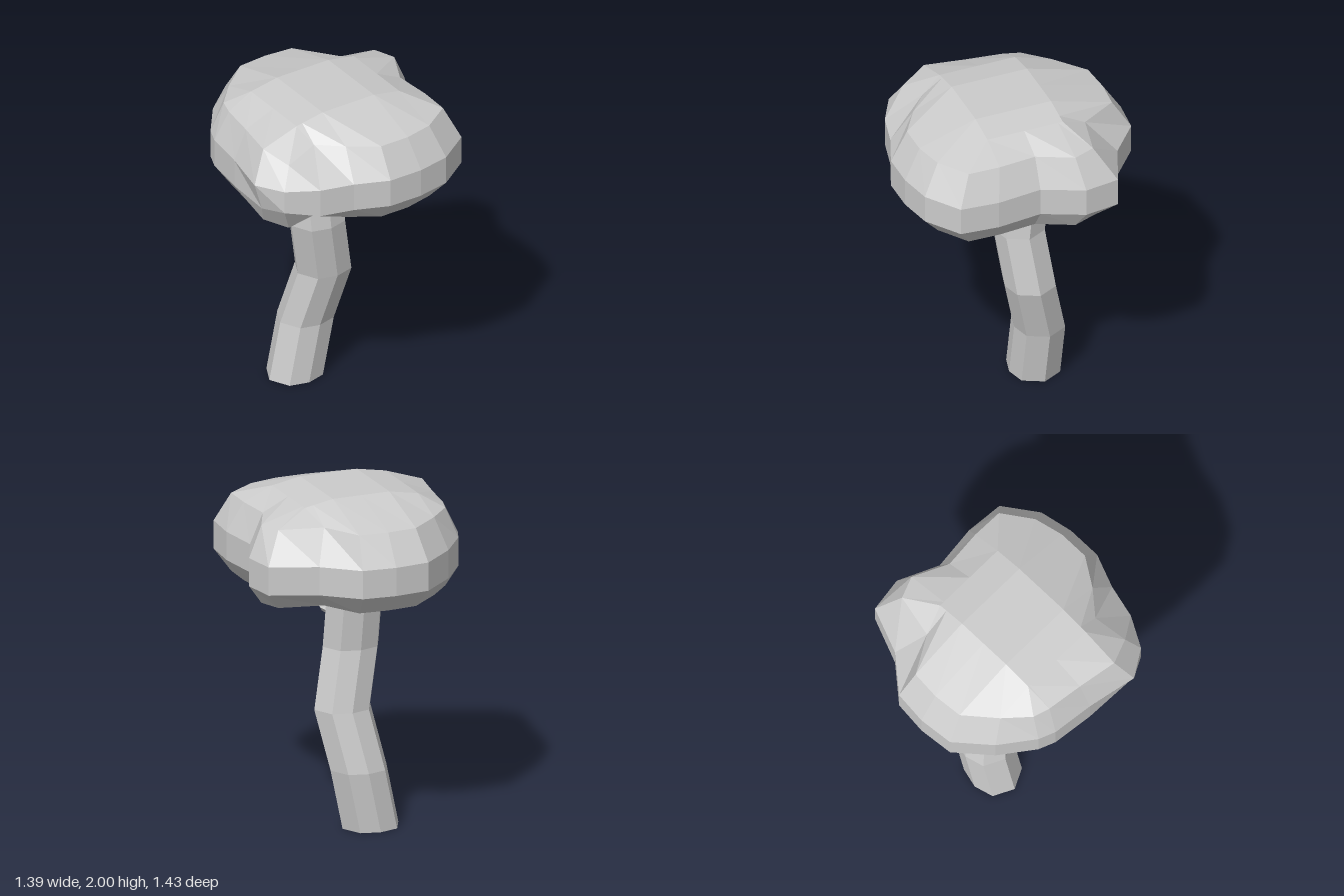
import * as THREE from 'three';

const material = new THREE.MeshStandardMaterial({ color: 0xcccccc, flatShading: true, side: THREE.DoubleSide });

// Skin a stack of rings (bottom to top, clockwise from above); optionally cap both ends.
function loft(name, rings, caps) {
  const pos = [];
  const tri = (a, b, c) => {
    const area = b.clone().sub(a).cross(c.clone().sub(a)).length();
    if (area > 1e-6) for (const p of [a, b, c]) pos.push(p.x, p.y, p.z);
  };
  const n = rings[0].length;
  for (let r = 0; r < rings.length - 1; r++) {
    for (let i = 0; i < n; i++) {
      const j = (i + 1) % n;
      const a = rings[r][i], b = rings[r][j], c = rings[r + 1][j], d = rings[r + 1][i];
      tri(a, d, c);
      tri(a, c, b);
    }
  }
  if (caps) {
    const centre = ring => ring.reduce((s, p) => s.add(p), new THREE.Vector3()).divideScalar(n);
    const low = rings[0], high = rings[rings.length - 1];
    const cl = centre(low), ch = centre(high);
    for (let i = 0; i < n; i++) {
      const j = (i + 1) % n;
      tri(cl, low[i], low[j]);
      tri(ch, high[j], high[i]);
    }
  }
  const geometry = new THREE.BufferGeometry();
  geometry.setAttribute('position', new THREE.Float32BufferAttribute(pos, 3));
  geometry.computeVertexNormals();
  const mesh = new THREE.Mesh(geometry, material);
  mesh.name = name;
  return mesh;
}

// Lobed outline of the crown at its widest, and the inset edge above and below it (x, z)
const outer = [
  [-0.22, -0.70], [-0.01, -0.72], [0.19, -0.70], [0.39, -0.53], [0.66, -0.42],
  [0.69, -0.21], [0.58, 0.03], [0.61, 0.30], [0.59, 0.53], [0.39, 0.67],
  [0.19, 0.71], [-0.02, 0.71], [-0.22, 0.63], [-0.42, 0.58], [-0.60, 0.48],
  [-0.70, 0.32], [-0.64, 0.02], [-0.61, -0.23], [-0.57, -0.33], [-0.42, -0.53],
];
const inner = [
  [-0.19, -0.59], [-0.01, -0.605], [0.165, -0.59], [0.29, -0.37], [0.55, -0.31],
  [0.60, -0.18], [0.50, 0.03], [0.52, 0.26], [0.515, 0.45], [0.34, 0.57],
  [0.165, 0.61], [-0.02, 0.61], [-0.19, 0.50], [-0.33, 0.38], [-0.53, 0.42],
  [-0.60, 0.26], [-0.56, 0.02], [-0.53, -0.20], [-0.50, -0.30], [-0.37, -0.44],
];
const NOTCH = 14; // pinched corner of the front right lobe

function buildCrown() {
  const { clamp } = THREE.MathUtils;
  const at = (outline, y) => outline.map(([x, z]) => new THREE.Vector3(x, y, z));
  // Flat plateau at height y, with shoulders that drop towards both sides
  const plateau = y => inner.map(([x, z]) =>
    new THREE.Vector3(clamp(x, -0.19, 0.165), y, clamp(z, -0.21, 0.26)));
  const shoulder = (y, drop) => inner.map(([x, z]) => {
    const sx = clamp(x, -0.37, 0.34);
    const out = Math.abs(sx - clamp(sx, -0.19, 0.165)) / 0.18;
    return new THREE.Vector3(sx, y - drop * out, clamp(z, -0.21, 0.26));
  });

  const lower = at(outer, 1.54), middle = at(outer, 1.71), upper = at(inner, 1.89);
  lower[NOTCH].y = 1.57;
  lower[NOTCH + 1].x = -0.65;
  upper[NOTCH].y = 1.835;
  return loft('crown', [
    plateau(1.38), shoulder(1.38, -0.017), at(inner, 1.42), lower,
    middle, upper, shoulder(2, 0.033), plateau(2),
  ], true);
}

// Eight-sided trunk that bends at each joint, open at the base
function buildTrunk() {
  const section = [
    [-0.115, -0.12], [0, -0.15], [0.115, -0.12], [0.175, 0],
    [0.115, 0.12], [0, 0.15], [-0.115, 0.12], [-0.175, 0],
  ];
  const joints = [
    [-0.075, 0, -0.20], [0, 0.36, -0.20], [0.065, 0.71, -0.115],
    [-0.005, 1.07, -0.075], [-0.015, 1.42, -0.115],
  ];
  return loft('trunk', joints.map(([cx, y, cz]) =>
    section.map(([x, z]) => new THREE.Vector3(cx + x, y, cz + z))), false);
}

// Small branch leaving the trunk and rising into the crown
function buildBranch() {
  const path = new THREE.CurvePath();
  const points = [[0.045, 1.24, 0.02], [0.075, 1.255, 0.10], [0.11, 1.42, 0.33]]
    .map(p => new THREE.Vector3(...p));
  const radius = 0.038;
  const rings = points.map((p, k) => {
    const dir = points[Math.min(k + 1, 2)].clone().sub(points[Math.max(k - 1, 0)]).normalize();
    const side = new THREE.Vector3(1, 0, 0).addScaledVector(dir, -dir.x).normalize();
    const up = dir.clone().cross(side);
    return Array.from({ length: 6 }, (_, i) => {
      const a = -i * Math.PI / 3;
      return p.clone().addScaledVector(side, radius * Math.cos(a)).addScaledVector(up, radius * Math.sin(a));
    });
  });
  return loft('branch', rings, true);
}

export function createModel() {
  const tree = new THREE.Group();
  tree.name = 'tree';
  tree.add(buildCrown(), buildTrunk(), buildBranch());
  return tree;
}
